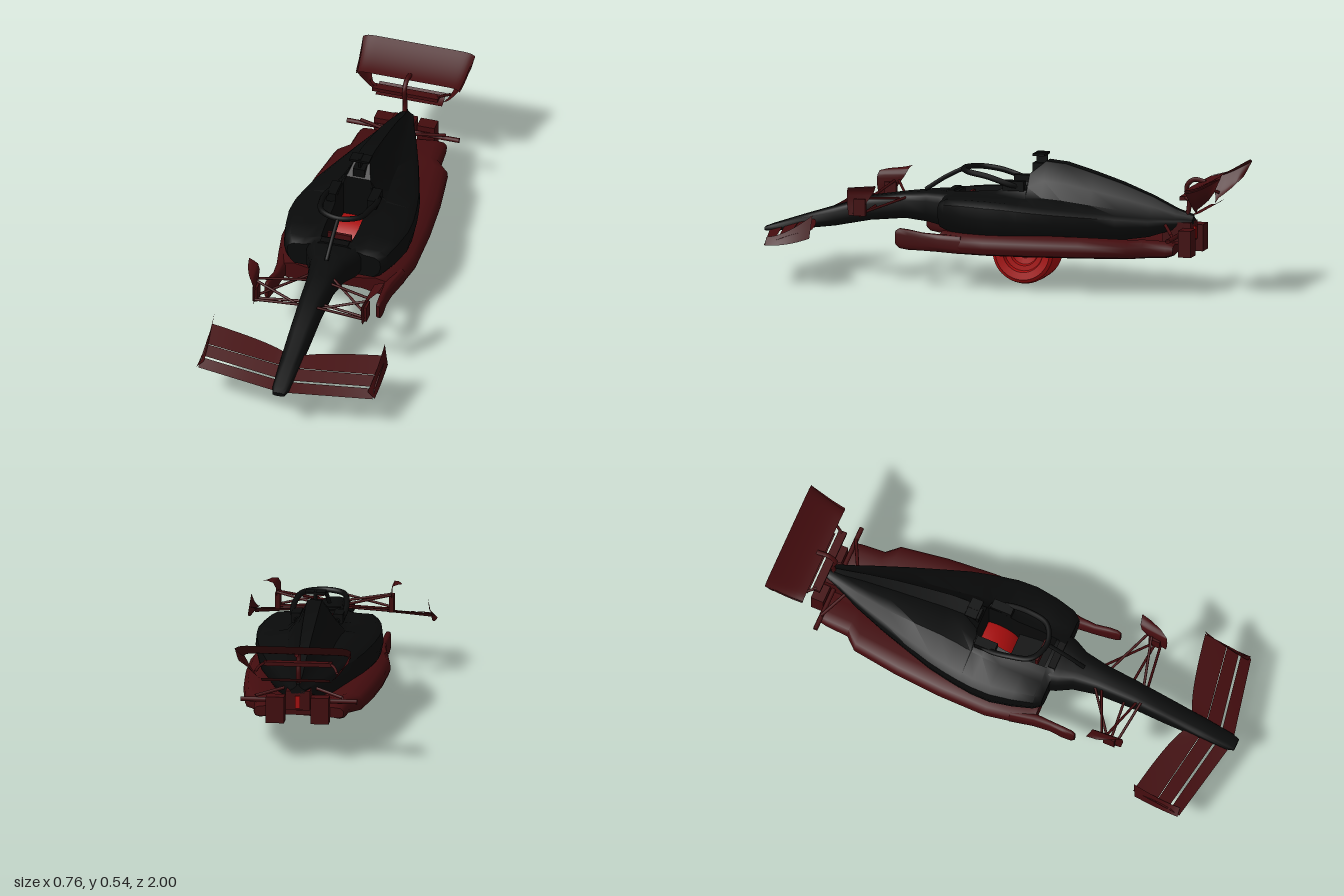
import * as THREE from 'three';
import { toCreasedNormals } from 'three/addons/utils/BufferGeometryUtils.js';

const mat = (name, color, side = THREE.FrontSide) => {
  const m = new THREE.MeshStandardMaterial({ color, side });
  m.name = name;
  return m;
};

export function createModel() {
  const car = new THREE.Group();
  car.name = 'racingCar';
  const black = mat('carbonBlack', 0x090a0a, THREE.DoubleSide);
  const darkRed = mat('darkRed', 0x430c0e, THREE.DoubleSide);
  const red = mat('brightRed', 0xa80e0e);

  const add = (name, geo, material, pos = [0, 0, 0]) => {
    const m = new THREE.Mesh(geo, material);
    m.name = name;
    m.position.set(...pos);
    car.add(m);
    return m;
  };
  const box = (name, size, pos, material) => add(name, new THREE.BoxGeometry(...size), material, pos);
  const tube = (name, pts, r, material, segs = 24) => add(name,
    new THREE.TubeGeometry(new THREE.CatmullRomCurve3(pts.map(p => new THREE.Vector3(...p))), segs, r, 8), material);

  // Skin between rings that run counter-clockwise, ordered from front to back
  function loft(sections, crease = 0.6) {
    const n = sections[0].ring.length, pos = [], idx = [];
    for (const s of sections) for (const [x, y] of s.ring) pos.push(x, y, s.z);
    for (let i = 0; i < sections.length - 1; i++)
      for (let j = 0; j < n; j++) {
        const a = i * n + j, b = i * n + (j + 1) % n, c = a + n, d = b + n;
        idx.push(a, c, b, b, c, d);
      }
    [0, sections.length - 1].forEach((k, back) => {
      const ring = sections[k].ring.map(p => new THREE.Vector2(...p));
      for (const [a, b, c] of THREE.ShapeUtils.triangulateShape(ring, []))
        idx.push(k * n + a, k * n + (back ? c : b), k * n + (back ? b : c));
    });
    const g = new THREE.BufferGeometry();
    g.setAttribute('position', new THREE.Float32BufferAttribute(pos, 3));
    g.setIndex(idx);
    return toCreasedNormals(g, crease);
  }
  // Completes a right half-ring that starts and ends on the centre line
  const mirrorRing = half => [...half, ...half.slice(1, -1).reverse().map(([x, y]) => [-x, y])];
  const rounded = (cx, w, y0, y1, n = 16) => Array.from({ length: n }, (_, i) => {
    const a = (i + 0.5) / n * Math.PI * 2, c = Math.cos(a), s = Math.sin(a);
    return [cx + w * Math.sign(c) * Math.abs(c) ** 0.55, (y0 + y1) / 2 + (y1 - y0) / 2 * Math.sign(s) * Math.abs(s) ** 0.55];
  });
  // Thin open surface from a rule fn(u, v) -> [x, y, z]
  function sheet(fn, nu = 12, nv = 6) {
    const g = new THREE.PlaneGeometry(1, 1, nu, nv), p = g.attributes.position, uv = g.attributes.uv;
    for (let i = 0; i < p.count; i++) p.setXYZ(i, ...fn(uv.getX(i), uv.getY(i)));
    g.computeVertexNormals();
    return g;
  }
  const lerp = THREE.MathUtils.lerp;
  const along = (pts, t) => {
    const f = Math.min(t, 0.9999) * (pts.length - 1), i = Math.floor(f);
    return pts[i].map((v, k) => lerp(v, pts[i + 1][k], f - i));
  };

  // Nose: z, half width, bottom, top
  const nose = [[1.0, .026, .172, .188], [.97, .035, .17, .2], [.85, .042, .185, .24], [.7, .048, .205, .288],
    [.55, .052, .235, .335], [.4, .06, .25, .358], [.3, .078, .24, .37], [.24, .11, .23, .374], [.17, .13, .22, .375]];
  add('nose', loft(nose.map(([z, w, a, b]) => ({ z, ring: rounded(0, w, a, b) })), 1), black);

  // Body with cockpit: z, half width, bottom, pod top, shoulder x, ridge half width, ridge top, cockpit floor
  const body = [
    [.215, .2, .245, .345, .13, .06, .376], [.185, .222, .235, .36, .13, .06, .378], [.18, .224, .234, .361, .13, .065, .378, .29],
    [.1, .245, .215, .366, .13, .07, .382, .27], [.005, .26, .2, .365, .13, .068, .388, .25], [0, .26, .2, .365, .13, .068, .388, .206],
    [-.08, .258, .2, .36, .125, .066, .42, .206], [-.13, .25, .2, .354, .12, .062, .43, .206], [-.135, .25, .2, .353, .12, .052, .455],
    [-.2, .238, .2, .346, .11, .03, .508], [-.28, .22, .2, .338, .1, .03, .5], [-.4, .182, .205, .325, .09, .027, .466],
    [-.52, .143, .21, .312, .078, .023, .428], [-.65, .096, .225, .3, .055, .017, .378], [-.75, .055, .255, .295, .035, .012, .33],
    [-.82, .03, .275, .292, .02, .006, .308]];
  add('bodywork', loft(body.map(([z, w, yb, ys, r, c, yt, floor]) => {
    const h = ys - yb, f = floor ?? yt + 0.005;
    return { z, ring: mirrorRing([[0, yb], [w * .84, yb], [w * .96, yb + h * .25], [w, yb + h * .55], [w * .98, ys - h * .15],
      [w * .87, ys], [r, lerp(ys, yt, .15)], [lerp(r, c, .55), lerp(ys, yt, .55)], [c, yt], [c * .99, f], [0, f]]) };
  }), 0.7), black);

  // Cockpit fittings and air intake with camera
  box('steeringWheel', [.1, .05, .012], [0, .345, .13], darkRed);
  box('airIntake', [.05, .04, .06], [0, .482, -.17], black);
  box('cameraPost', [.01, .05, .045], [0, .52, -.175], black);
  box('cameraBar', [.084, .01, .05], [0, .538, -.17], black);
  box('cockpitPadRight', [.04, .04, .09], [-.087, .415, -.08], black);
  box('cockpitPadLeft', [.04, .04, .09], [.087, .415, -.08], black);

  // Halo
  const hoop = [[.08, .405, -.13], [.105, .42, -.07], [.105, .45, .03], [.08, .463, .12]];
  tube('haloHoop', [...hoop, [0, .466, .155], ...hoop.map(([x, y, z]) => [-x, y, z]).reverse()], .012, black, 48);
  tube('haloPillar', [[0, .466, .155], [0, .425, .235], [0, .37, .32]], .009, black);

  // Floor with rolled edges and arched underside: z, half width, edge bottom, top
  const floor = [[.2, .23, .15, .23], [.17, .245, .147, .23], [.1, .272, .145, .23], [0, .29, .145, .232], [-.2, .287, .146, .232],
    [-.4, .272, .148, .231], [-.6, .243, .15, .226], [-.65, .197, .15, .224], [-.75, .19, .155, .22], [-.78, .185, .165, .21]];
  const floorHalf = [[0, .22], [.5, .2], [.7, .08], [.86, 0], [.97, .1], [1, .35], [.99, .66], [.93, .9], [.75, 1], [.4, .8], [0, .62]];
  add('floor', loft(floor.map(([z, w, a, b]) => ({ z, ring: mirrorRing(floorHalf.map(([x, y]) => [x * w, lerp(a, b, y)])) })), 0.9), darkRed);

  // Lathed centre wheel
  const wheelProfile = [[.001, -.05], [.025, -.055], [.03, -.04], [.055, -.045], [.06, -.06], [.08, -.062], [.085, -.08], [.115, -.086],
    [.128, -.078], [.134, -.055], [.135, 0], [.134, .055], [.128, .078], [.115, .086], [.085, .08], [.08, .062], [.06, .06],
    [.055, .045], [.03, .04], [.025, .055], [.001, .05]].map(p => new THREE.Vector2(...p));
  const wheel = add('wheel', toCreasedNormals(new THREE.LatheGeometry(wheelProfile, 48), 0.6), red, [-.005, .138, -.112]);
  wheel.rotation.z = Math.PI / 2;

  // Front wing elements: leading and trailing edges as z and y at root and tip
  const wing = [
    [[.98, .178, .905, .168], [.926, .193, .862, .19]],
    [[.917, .195, .852, .192], [.858, .214, .8, .212]],
    [[.856, .215, .798, .213], [.82, .232, .7, .242]]];
  // Rear wing side plate: upper and lower edges as x, y, z
  const upper = [[.222, .445, -.84], [.228, .46, -.9], [.233, .485, -.95], [.239, .505, -1]];
  const lower = [[.14, .34, -.87], [.16, .36, -.88], [.17, .375, -.9], [.185, .405, -.935], [.225, .445, -.97]];
  // Wheel winglet outline from outer tip to foot: x, y, rear z, front z
  const winglet = [[.282, .408, .455, .5], [.262, .407, .46, .55], [.24, .4, .465, .585], [.23, .38, .475, .592],
    [.229, .34, .505, .592], [.232, .285, .53, .585]];

  for (const s of [1, -1]) {
    const side = s > 0 ? 'Left' : 'Right';
    const m = pts => pts.map(([x, y, z]) => [s * x, y, z]);
    // Floor fences
    add('floorFence' + side, loft([[.382, .238, .008, .175, .232], [.365, .238, .012, .16, .242], [.33, .236, .014, .154, .238],
      [.27, .23, .014, .152, .226], [.2, .23, .02, .15, .222], [.1, .25, .02, .148, .222]]
      .map(([z, x, w, a, b]) => ({ z, ring: rounded(s * x, w, a, b) })), 1), darkRed);

    wing.forEach(([a, b], k) => add('frontWingElement' + (k + 1) + side, sheet((u, v) => {
      const x = .01 + u * .362;
      const z0 = lerp(a[0], a[2], u), z1 = lerp(b[0], b[2], k === 2 ? u ** .5 : u);
      return [s * x, lerp(lerp(a[1], a[3], u), lerp(b[1], b[3], u), v), lerp(z0, z1, v)];
    }), darkRed));
    // Curved end plate sweeping up to a rear point
    add('frontEndPlate' + side, sheet((u, v) => {
      const y0 = lerp(.168, .205, u * u), top = .2 + .1 * u ** 1.6;
      return [s * (.38 - .016 * v - .014 * (1 - u) * v), lerp(y0, top, v), lerp(.9, .71, u) - .01 * v * u];
    }), darkRed);

    // Front suspension arms
    const arms = [[[.04, .335, .59], [.235, .295, .56]], [[.05, .34, .39], [.235, .295, .53]], [[.04, .315, .57], [.235, .36, .52]],
      [[.05, .335, .42], [.235, .36, .5]], [[.045, .3, .52], [.235, .285, .535]]];
    arms.forEach((p, i) => tube('frontArm' + (i + 1) + side, m(p), .0055, darkRed, 2));
    add('wheelWinglet' + side, sheet((u, v) => {
      const [x, y, z0, z1] = along(winglet, u);
      return [s * (x + .008 * (1 - v)), y + .012 * (1 - v) * (1 - u), lerp(z0, z1, v)];
    }, 15, 4), darkRed);
    box('frontHub' + side, [.02, .07, .05], [s * .234, .32, .535], darkRed);

    // Rear wing side plates and their arms
    add('rearSidePlate' + side, sheet((u, v) => {
      const a = along(lower, u), b = along(upper, u);
      return [s * lerp(a[0], b[0], v ** .7), lerp(a[1], b[1], v), lerp(a[2], b[2], v)];
    }, 12, 8), darkRed);
    tube('rearWingBrace' + side, m([[.13, .405, -.815], [.155, .395, -.85], [.168, .38, -.88]]), .006, darkRed, 8);

    // Rear crash blocks and axle stubs
    box('rearBlock' + side, [.075, .11, .055], [s * .092, .208, -.815], darkRed);
    tube('rearAxle' + side, m([[.02, .235, -.775], [.24, .235, -.775]]), .01, darkRed, 2);
    tube('rearArm' + side, m([[.03, .28, -.7], [.18, .25, -.775]]), .007, darkRed, 2);
  }

  // Rear wing plane with rounded corners, lower wing and supports
  add('rearWing', sheet((u, v) => {
    const t = u * 2 - 1;
    return [t * (.222 + .018 * v), .447 + .071 * v ** 1.5 - .014 * Math.abs(t) ** 16, -.84 - .16 * v];
  }, 40, 8), darkRed);
  add('lowerRearWing', sheet((u, v) => [(u * 2 - 1) * .142, .335 + .025 * v * v, -.85 - .06 * v]), darkRed);
  box('rearBeam', [.28, .016, .035], [0, .4, -.815], darkRed);
  tube('rearPillar', [[0, .29, -.79], [0, .36, -.8], [0, .43, -.79], [0, .458, -.82], [0, .45, -.87]], .01, darkRed);
  box('gearbox', [.1, .08, .12], [0, .245, -.76], darkRed);
  box('rearLight', [.02, .05, .01], [0, .24, -.825], red);
  return car;
}
